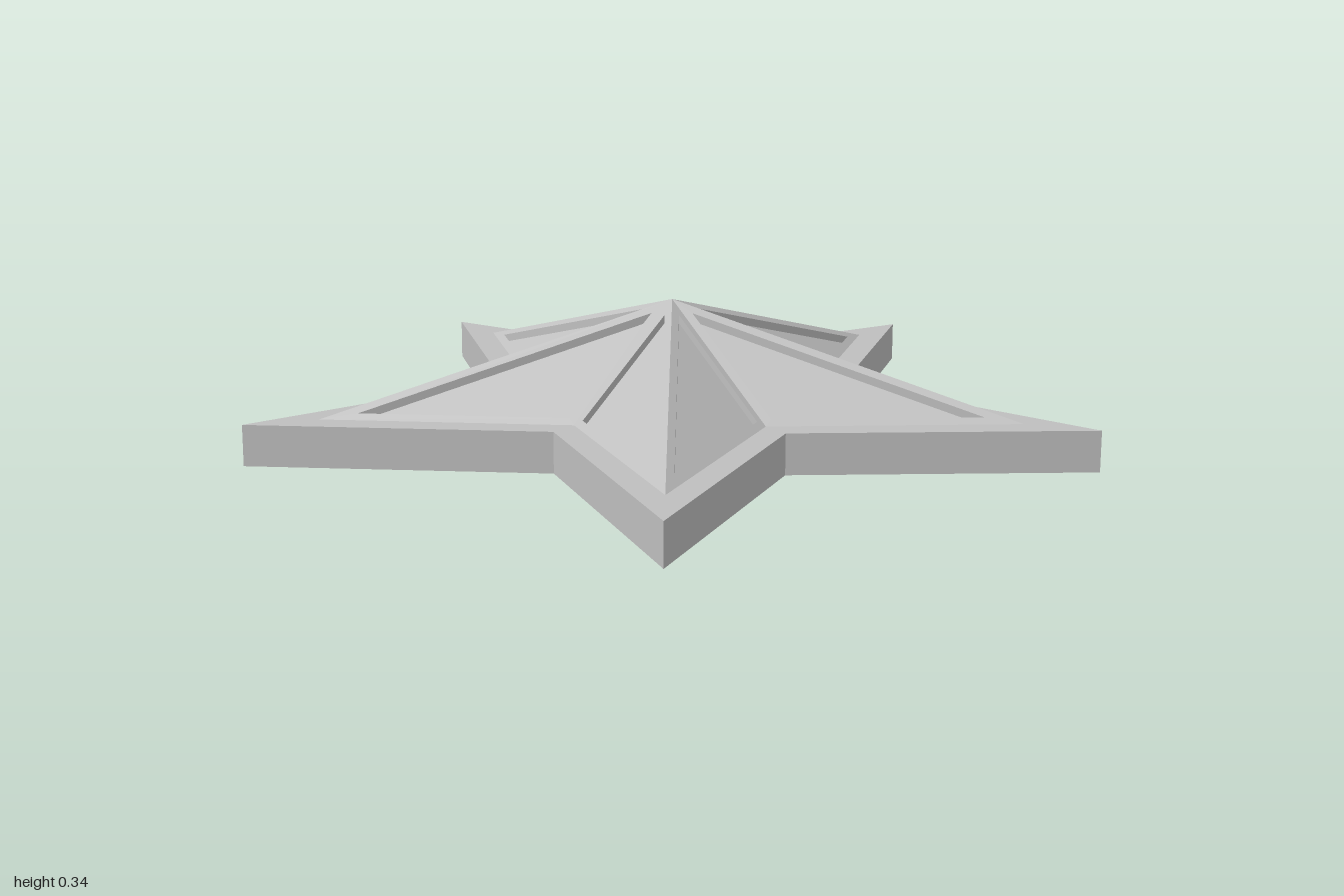
import * as THREE from 'three';

const CENTRE_Z = 0.1;
const BASE_H = 0.1;
const FRAME = 0.021; // width of the border left around each panel
const RECESS = 0.02; // how far the panels are sunk

// Ten outline points of a five-pointed star, starting at the back tip
function starRing(tipRadius, innerRadius, y) {
  return Array.from({ length: 10 }, (_, k) => {
    const a = (k * Math.PI) / 5;
    const r = k % 2 ? innerRadius : tipRadius;
    return new THREE.Vector3(r * Math.sin(a), y, CENTRE_Z - r * Math.cos(a));
  });
}

// Flat-sided mesh from convex polygons
function polygonMesh(name, polygons, material) {
  const points = [];
  for (const p of polygons) {
    for (let i = 1; i < p.length - 1; i++) points.push(p[0], p[i], p[i + 1]);
  }
  const geometry = new THREE.BufferGeometry().setFromPoints(points);
  geometry.computeVertexNormals();
  const mesh = new THREE.Mesh(geometry, material);
  mesh.name = name;
  return mesh;
}

// Shrinks a triangle so every edge moves inward by the same distance
function insetTriangle(tri, distance) {
  const [a, b, c] = tri;
  const la = b.distanceTo(c), lb = c.distanceTo(a), lc = a.distanceTo(b);
  const sum = la + lb + lc;
  const centre = new THREE.Vector3()
    .addScaledVector(a, la / sum)
    .addScaledVector(b, lb / sum)
    .addScaledVector(c, lc / sum);
  const inRadius = (2 * new THREE.Triangle(a, b, c).getArea()) / sum;
  return tri.map((v) => v.clone().lerp(centre, distance / inRadius));
}

export function createModel() {
  const group = new THREE.Group();
  group.name = 'star';
  const grey = new THREE.MeshStandardMaterial({ color: 0xbfbfbf });
  grey.name = 'plain grey';

  const bottom = starRing(1.05, 0.455, 0);
  const top = starRing(1.05, 0.455, BASE_H);
  const foot = starRing(0.87, 0.38, BASE_H);
  const apex = new THREE.Vector3(0, 0.34, CENTRE_Z);
  const floor = new THREE.Vector3(0, 0, CENTRE_Z);

  const base = [], frames = [], recessWalls = [], panels = [];
  for (let k = 0; k < 10; k++) {
    const n = (k + 1) % 10;

    // Base slab: side wall, rim around the peak, underside
    base.push([top[n], bottom[n], bottom[k], top[k]]);
    base.push([top[k], foot[k], foot[n], top[n]]);
    base.push([floor, bottom[k], bottom[n]]);

    // Sloping facet with a sunken triangular panel
    const facet = [apex, foot[n], foot[k]];
    const edge = insetTriangle(facet, FRAME);
    const sunk = edge.map((v) => v.clone().setY(v.y - RECESS));
    for (let i = 0; i < 3; i++) {
      const j = (i + 1) % 3;
      frames.push([facet[i], facet[j], edge[j], edge[i]]);
      recessWalls.push([edge[i], edge[j], sunk[j], sunk[i]]);
    }
    panels.push(sunk);
  }

  group.add(
    polygonMesh('base', base, grey),
    polygonMesh('facetFrames', frames, grey),
    polygonMesh('recessWalls', recessWalls, grey),
    polygonMesh('sunkenPanels', panels, grey)
  );
  return group;
}
